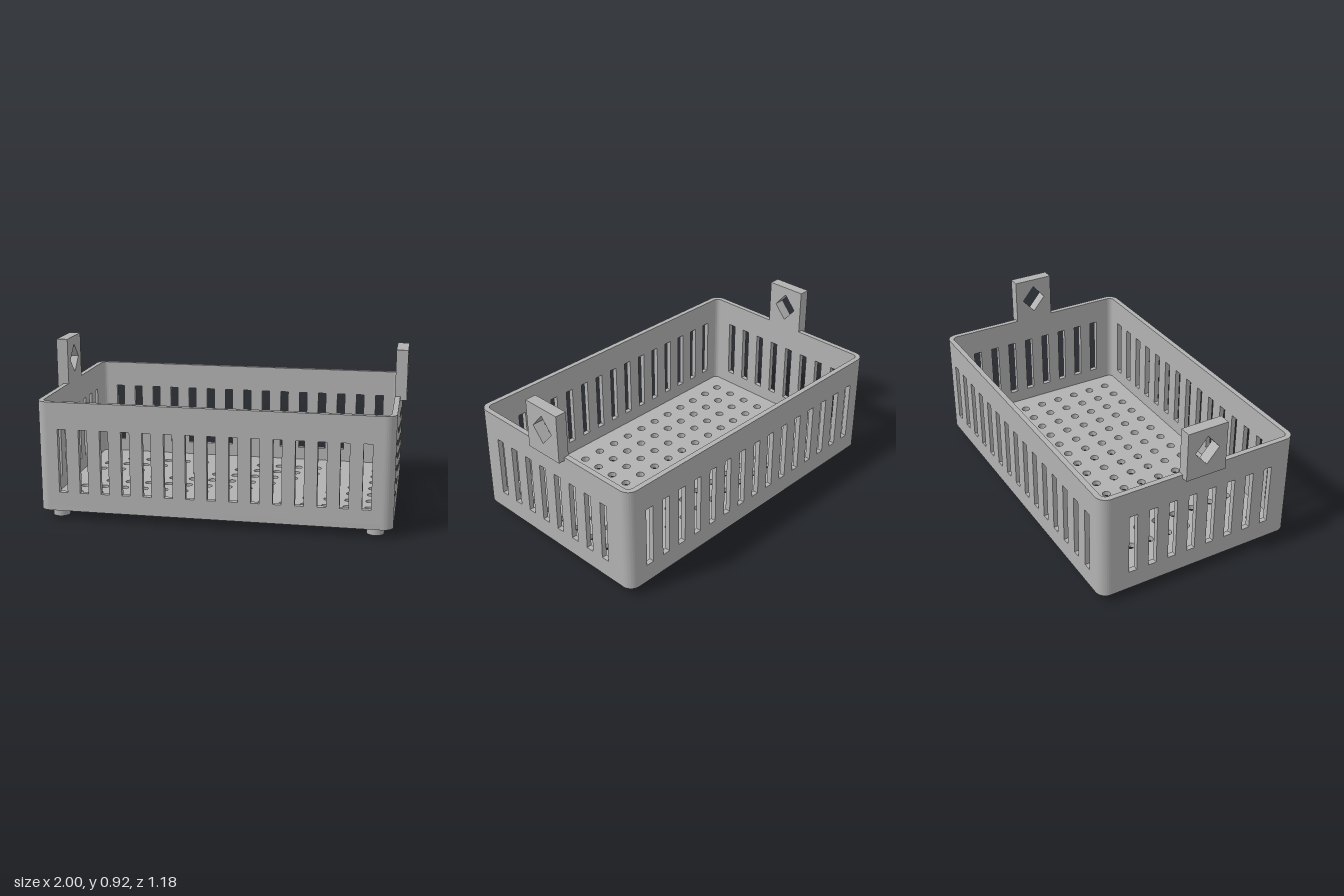
import * as THREE from 'three';
import { toCreasedNormals } from 'three/addons/utils/BufferGeometryUtils.js';

// Main dimensions
const HX = 0.9647, HZ = 0.588;              // half length and half depth of the basket
const BASE = 0.049, FLOOR_TOP = 0.079, RIM = 0.66;
const WALL = 0.0294, R = 0.0588;            // wall thickness, outer corner radius
const PITCH = 2 / 17, HOLE_R = 0.0235;

const series = (count, first) => Array.from({ length: count }, (_, i) => first + i * PITCH);

function polygon(points, Type = THREE.Shape) {
  return new Type(points.map(([x, y]) => new THREE.Vector2(x, y)));
}

function rectPoints(x0, x1, y0, y1) {
  return [[x0, y0], [x1, y0], [x1, y1], [x0, y1]];
}

function extrude(shape, depth) {
  const geo = new THREE.ExtrudeGeometry(shape, { depth, bevelEnabled: false, curveSegments: 12 });
  return toCreasedNormals(geo, 0.6);
}

// Straight wall pierced by a row of vertical slots
function wallPanel(halfWidth, slotCentres) {
  const shape = polygon(rectPoints(-halfWidth, halfWidth, FLOOR_TOP, RIM));
  for (const c of slotCentres) {
    shape.holes.push(polygon(rectPoints(c - 0.0235, c + 0.0235, 0.155, 0.51), THREE.Path));
  }
  return extrude(shape, WALL);
}

// Rounded floor plate with a grid of drain holes
function floorPlate() {
  const x = HX - R, z = HZ - R, shape = new THREE.Shape();
  shape.absarc(x, z, R, 0, Math.PI / 2);
  shape.absarc(-x, z, R, Math.PI / 2, Math.PI);
  shape.absarc(-x, -z, R, Math.PI, Math.PI * 1.5);
  shape.absarc(x, -z, R, Math.PI * 1.5, Math.PI * 2);
  for (const hx of series(15, -7 * PITCH)) {
    for (const hz of series(8, -0.377)) {
      shape.holes.push(new THREE.Path().absarc(hx, -hz, HOLE_R, 0, Math.PI * 2, true));
    }
  }
  return extrude(shape, FLOOR_TOP - BASE).rotateX(-Math.PI / 2);
}

// Quarter ring joining two walls
function cornerPost() {
  const shape = new THREE.Shape();
  shape.absarc(0, 0, R, 0, Math.PI / 2, false);
  shape.absarc(0, 0, R - WALL, Math.PI / 2, 0, true);
  return extrude(shape, RIM - FLOOR_TOP).rotateX(-Math.PI / 2);
}

// Hanging tab with a diamond opening
function hangingTab() {
  const shape = polygon(rectPoints(-0.1176, 0.1176, 0.639, 0.919));
  shape.holes.push(polygon([[0, 0.706], [0.0715, 0.789], [0, 0.872], [-0.0715, 0.789]], THREE.Path));
  return extrude(shape, 1 - HX + WALL).rotateY(-Math.PI / 2);
}

export function createModel() {
  const model = new THREE.Group();
  model.name = 'basket';
  const grey = new THREE.MeshStandardMaterial({ color: 0xb2b2b2 });
  grey.name = 'grey plastic';

  const add = (name, geo, x = 0, y = 0, z = 0) => {
    const mesh = new THREE.Mesh(geo, grey);
    mesh.name = name;
    mesh.position.set(x, y, z);
    model.add(mesh);
    return mesh;
  };

  add('floor', floorPlate(), 0, BASE, 0);

  // Walls
  const longWall = wallPanel(HX - R, series(15, -7 * PITCH));
  add('frontWall', longWall, 0, 0, HZ - WALL);
  add('backWall', longWall, 0, 0, -HZ);
  const endWall = wallPanel(HZ - R, series(8, -0.4)).rotateY(-Math.PI / 2);
  add('leftWall', endWall, HX, 0, 0);
  add('rightWall', endWall, -HX + WALL, 0, 0);

  // Rounded corners, turned a quarter each time
  const corner = cornerPost();
  [[1, -1], [-1, -1], [-1, 1], [1, 1]].forEach(([sx, sz], i) => {
    add('corner', corner, sx * (HX - R), FLOOR_TOP, sz * (HZ - R)).rotation.y = i * Math.PI / 2;
  });

  // Hanging tabs, flush with the inside of the end walls
  const tab = hangingTab();
  add('leftTab', tab, 1, 0, 0);
  add('rightTab', tab, -HX + WALL, 0, 0);

  // Feet
  const foot = new THREE.CylinderGeometry(0.0465, 0.0465, BASE, 32);
  for (const sx of [-1, 1]) {
    for (const sz of [-1, 1]) add('foot', foot, sx * 0.87, BASE / 2, sz * 0.493);
  }
  return model;
}
